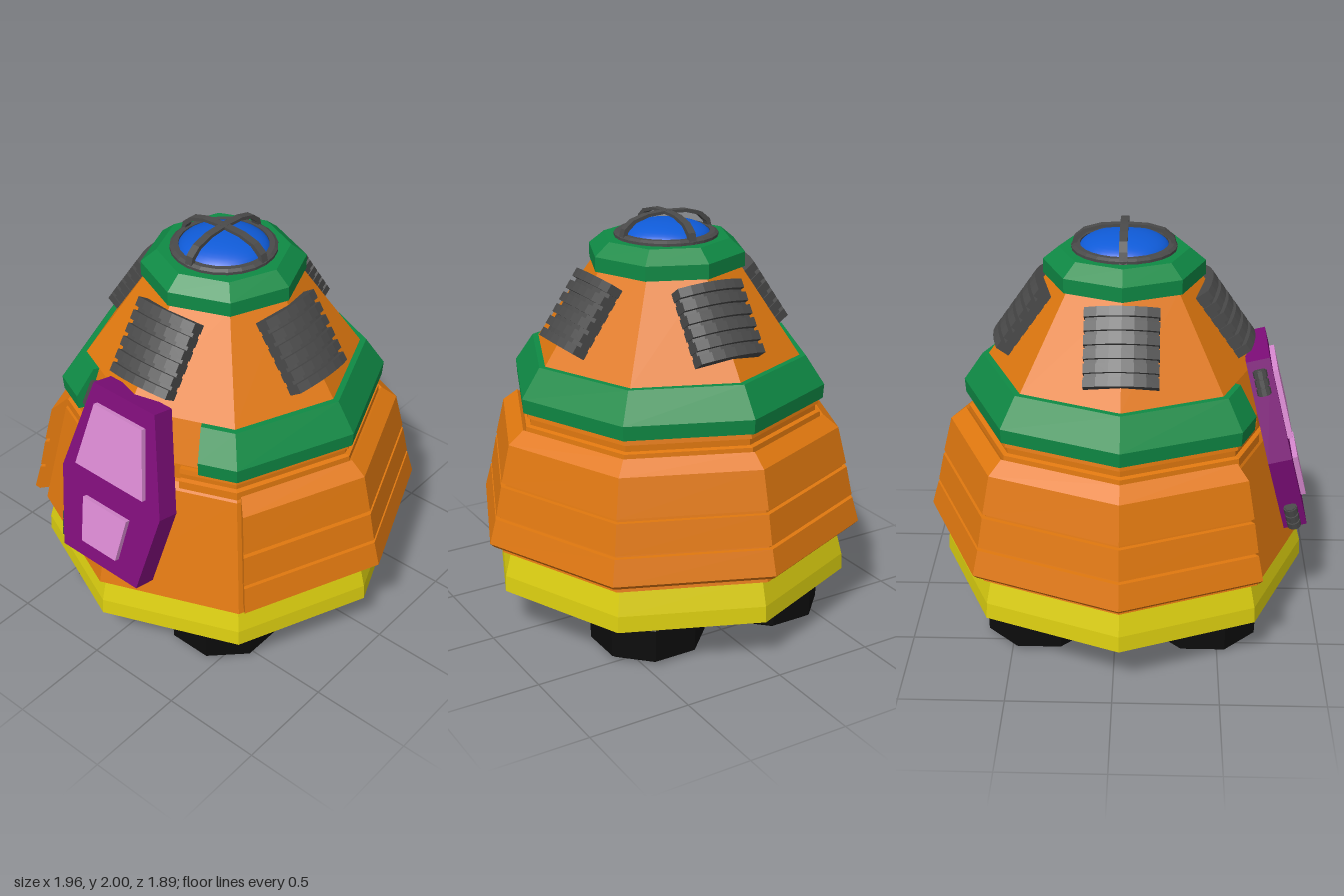
import * as THREE from 'three';

const CZ = 0.03; // z of the hull axis
const deg = Math.PI / 180;
const paint = (color, flat = true) =>
  new THREE.MeshStandardMaterial({ color, flatShading: flat });

const ORANGE = paint(0xe0780f), GREEN = paint(0x0f8a45), YELLOW = paint(0xdccf10);
const PURPLE = paint(0x7d0d78), PINK = paint(0xd888d0), GREY = paint(0x4a4a4a);
const BLUE = paint(0x0f5bd8, false), BLACK = paint(0x0c0c0c);

function add(parent, name, geometry, material) {
  const mesh = new THREE.Mesh(geometry, material);
  mesh.name = name;
  parent.add(mesh);
  return mesh;
}

// Sweeps an anticlockwise [radius, y] profile round an octagon with a corner at
// the front, from angle `from` to 360 - from; capped when it is not a full turn.
function octagonRing(profile, from = 0) {
  const angles = [from];
  for (let a = 45; a < 360 - from; a += 45) if (a > from) angles.push(a);
  angles.push(360 - from);
  const point = ([r, y], a) => {
    const k = Math.cos(22.5 * deg) / Math.cos(((a % 45) - 22.5) * deg);
    return [r * k * Math.sin(a * deg), y, r * k * Math.cos(a * deg) + CZ];
  };
  const pos = [];
  const n = profile.length;
  for (let s = 0; s < angles.length - 1; s++) {
    for (let i = 0; i < n; i++) {
      const p = profile[i], q = profile[(i + 1) % n];
      const a = point(p, angles[s]), b = point(p, angles[s + 1]);
      const c = point(q, angles[s + 1]), d = point(q, angles[s]);
      pos.push(...a, ...b, ...c, ...a, ...c, ...d);
    }
  }
  if (from > 0) {
    const flat = profile.map(([r, y]) => new THREE.Vector2(r, y));
    for (const [i, j, k] of THREE.ShapeUtils.triangulateShape(flat, [])) {
      for (const v of [i, j, k]) pos.push(...point(profile[v], from));
      for (const v of [k, j, i]) pos.push(...point(profile[v], 360 - from));
    }
  }
  const g = new THREE.BufferGeometry();
  g.setAttribute('position', new THREE.Float32BufferAttribute(pos, 3));
  g.computeVertexNormals();
  return g;
}

// Extrudes a polygon of [x, y] points, without bevel
function slab(points, depth) {
  const shape = new THREE.Shape(points.map(([x, y]) => new THREE.Vector2(x, y)));
  return new THREE.ExtrudeGeometry(shape, { depth, bevelEnabled: false });
}

// Bar bowed outward along x, `height` tall in y, centred on y = 0
function bowedBar(width, back, front, height) {
  const pts = [], n = 6, bow = 0.035;
  for (let i = 0; i <= n; i++) {
    const t = (i / n) * 2 - 1;
    pts.push([(t * width) / 2, -(front - bow * t * t)]);
  }
  pts.push([width / 2, -back], [-width / 2, -back]);
  return slab(pts, height).rotateX(-Math.PI / 2).translate(0, -height / 2, 0);
}

function createVent() {
  const vent = new THREE.Group();
  vent.name = 'vent';
  add(vent, 'ventBacking', bowedBar(0.335, -0.06, 0.03, 0.355), GREY);
  for (let i = 0; i < 6; i++) {
    const slat = add(vent, 'ventSlat', bowedBar(0.345, -0.05, 0.055, 0.044), GREY);
    slat.position.y = (i - 2.5) * 0.0645;
  }
  return vent;
}

// Tilted hatch: local y runs up the panel, local z = 0 is its outer face
function createHatch() {
  const hatch = new THREE.Group();
  hatch.name = 'hatch';
  const tilt = Math.atan2(0.22, 0.875);
  const s = 1 / Math.cos(tilt);
  const local = (pts) => pts.map(([x, y]) => [x, (y - 0.535) * s]);
  const panel = slab(local([[-0.24, 0.535], [0.24, 0.535], [0.313, 0.93],
    [0.19, 1.405], [-0.19, 1.405], [-0.313, 0.93]]), 0.115);
  add(hatch, 'hatchPanel', panel.translate(0, 0, -0.115), PURPLE);
  const windows = {
    upperWindow: [[-0.215, 0.99], [0.215, 0.99], [0.15, 1.32], [-0.15, 1.32]],
    lowerWindow: [[-0.11, 0.625], [0.11, 0.625], [0.14, 0.847], [-0.14, 0.847]],
  };
  for (const [name, pts] of Object.entries(windows)) {
    add(hatch, name, slab(local(pts), 0.035).translate(0, 0, -0.01), PINK);
  }
  // Ribbed hinges along the hatch's right edge
  for (const [x, y, lean] of [[-0.235, 1.31, -0.25], [-0.275, 0.61, 0.17]]) {
    const hinge = new THREE.Group();
    hinge.name = 'hinge';
    add(hinge, 'hingePin', new THREE.CylinderGeometry(0.027, 0.027, 0.125, 10), GREY);
    for (let i = -1; i <= 1; i++) {
      add(hinge, 'hingeKnuckle', new THREE.CylinderGeometry(0.034, 0.034, 0.032, 10), GREY)
        .position.y = i * 0.042;
    }
    hinge.position.set(x, (y - 0.535) * s, -0.06);
    hinge.rotation.z = lean;
    hatch.add(hinge);
  }
  hatch.position.set(0, 0.535, 0.94);
  hatch.rotation.x = -tilt;
  return hatch;
}

function createDome() {
  const dome = new THREE.Group();
  dome.name = 'dome';
  const glass = add(dome, 'domeGlass',
    new THREE.SphereGeometry(0.215, 32, 10, 0, Math.PI * 2, 0, Math.PI / 2), BLUE);
  glass.scale.y = 0.35;
  const rim = [[0.21, 0], [0.25, 0], [0.25, 0.015], [0.235, 0.025], [0.21, 0.025], [0.21, 0]];
  add(dome, 'domeRim', new THREE.LatheGeometry(
    rim.map(([r, y]) => new THREE.Vector2(r, y)), 24), GREY);
  // Two crossing arched guard straps
  const half = [[0.25, 0], [0.235, 0.055], [0.19, 0.092], [0.11, 0.114], [0, 0.12]];
  const outer = [...half, ...half.slice(0, 4).reverse().map(([x, y]) => [-x, y])];
  const inner = outer.map(([x, y]) => [x * 0.92, Math.max(0, y - 0.014)]).reverse();
  for (const turn of [0, Math.PI / 2]) {
    add(dome, 'guardStrap', slab([...outer, ...inner], 0.038).translate(0, 0, -0.019), GREY)
      .rotation.y = turn;
  }
  dome.position.set(0, 1.88, CZ);
  return dome;
}

export function createModel() {
  const model = new THREE.Group();
  model.name = 'capsule';

  // Hull and its rings
  add(model, 'hull', octagonRing([[0, 0.39], [0.85, 0.39], [0.85, 0.432], [0.915, 0.432],
    [0.78, 1.0], [0.755, 1.035], [0.735, 1.04], [0.73, 1.12], [0.66, 1.33],
    [0.36, 1.76], [0, 1.76]]), ORANGE);
  add(model, 'baseSkirt', octagonRing([[0.88, 0.22], [0.91, 0.22], [0.905, 0.3],
    [0.87, 0.435], [0.82, 0.435]]), YELLOW);
  add(model, 'topRing', octagonRing([[0.3, 1.75], [0.385, 1.75], [0.385, 1.82],
    [0.31, 1.882], [0.24, 1.882], [0.22, 1.86], [0, 1.86], [0, 1.75]]), GREEN);
  add(model, 'greenBand', octagonRing([[0.68, 1.12], [0.78, 1.12], [0.785, 1.19],
    [0.69, 1.33], [0.6, 1.33]], 31.5), GREEN);
  add(model, 'steppedCollar', octagonRing([[0.7, 1.0], [0.772, 1.01], [0.768, 1.05],
    [0.745, 1.055], [0.745, 1.085], [0.76, 1.09], [0.755, 1.115], [0.68, 1.115]], 24), ORANGE);

  // Armour shell with two grooves, open at the front
  add(model, 'armourShell', octagonRing([[0.87, 0.48], [0.96, 0.47], [0.98, 0.49],
    [0.946, 0.612], [0.922, 0.612], [0.918, 0.628], [0.942, 0.628], [0.911, 0.772],
    [0.888, 0.772], [0.884, 0.792], [0.907, 0.792], [0.862, 0.975], [0.785, 1.035],
    [0.74, 1.0]], 46.4), ORANGE);

  // Vents on the four axes, leaning with the cone
  for (let i = 0; i < 4; i++) {
    const pivot = new THREE.Group();
    pivot.name = 'ventMount';
    const vent = createVent();
    vent.position.set(0, 1.57, 0.482);
    vent.rotation.x = -Math.atan2(0.3, 0.43);
    pivot.add(vent);
    pivot.position.z = CZ;
    pivot.rotation.y = (i * Math.PI) / 2;
    model.add(pivot);
  }

  model.add(createHatch(), createDome());

  // Engine nozzles that serve as feet, tapering up into the hull
  const bell = [[0, 0], [0.25, 0], [0.28, 0.02], [0.284, 0.18], [0.25, 0.25], [0.13, 0.4],
    [0, 0.4]];
  for (const x of [-0.328, 0.342]) {
    for (const z of [-0.4, 0.4]) {
      const g = new THREE.LatheGeometry(
        bell.map(([r, y]) => new THREE.Vector2(r, y)), 8).rotateY(Math.PI / 8);
      add(model, 'engineNozzle', g, BLACK).position.set(x, 0, CZ + z);
    }
  }
  return model;
}
